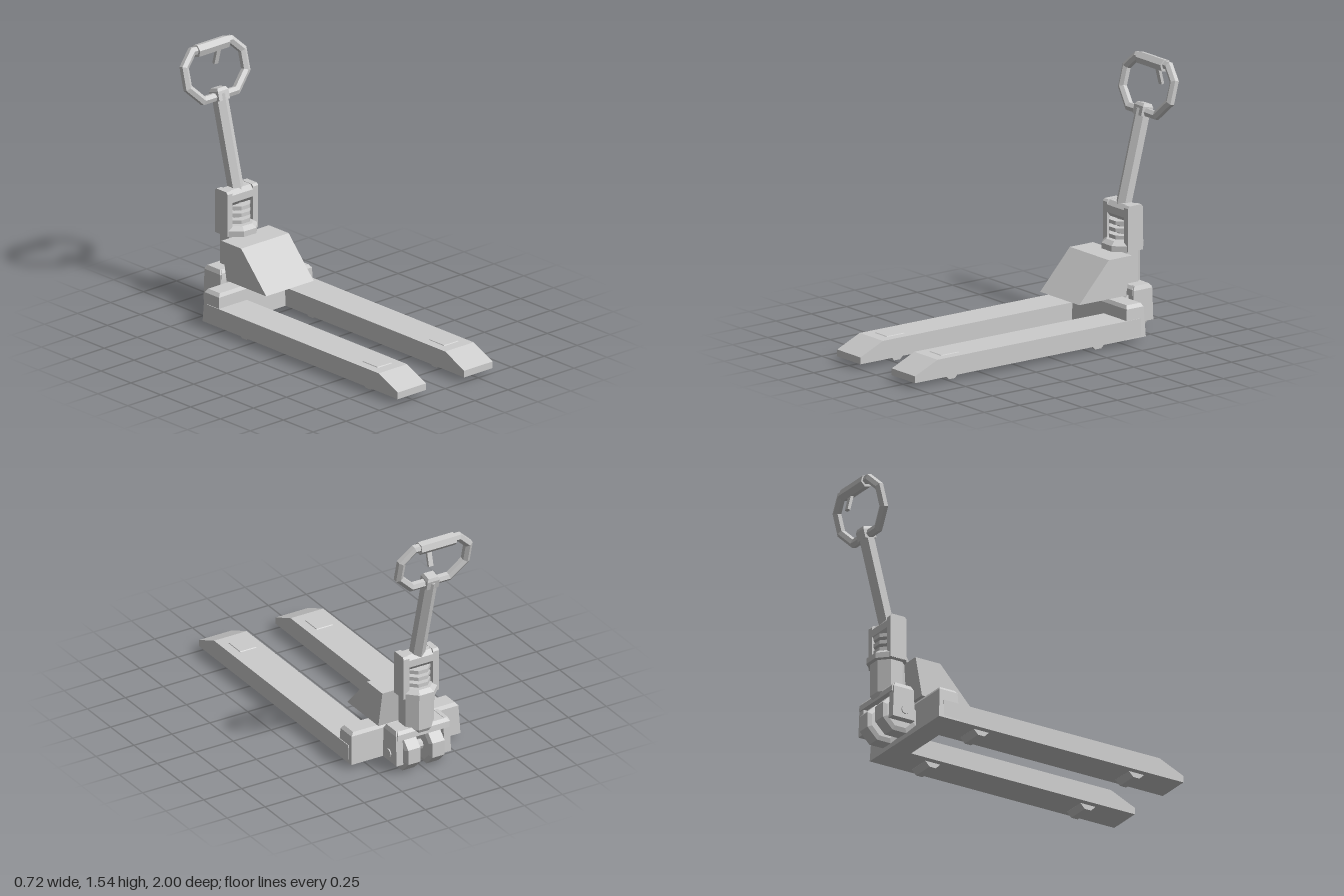
import * as THREE from 'three';

const grey = new THREE.MeshStandardMaterial({ color: 0xcccccc, flatShading: true });
const OCT = 1 / Math.cos(Math.PI / 8); // corner radius per unit of flat distance

function add(parent, name, geometry, x = 0, y = 0, z = 0) {
  const mesh = new THREE.Mesh(geometry, grey);
  mesh.name = name;
  mesh.position.set(x, y, z);
  parent.add(mesh);
  return mesh;
}

// Skin over equal-sized rings of points, capped or joined end to end
function loft(rings, closed = false) {
  const n = rings[0].length, m = rings.length, index = [];
  for (let i = 0; i < (closed ? m : m - 1); i++) {
    for (let j = 0; j < n; j++) {
      const k = (j + 1) % n, next = ((i + 1) % m) * n;
      index.push(i * n + j, i * n + k, next + k, i * n + j, next + k, next + j);
    }
  }
  if (!closed) {
    const top = (m - 1) * n;
    for (let j = 1; j < n - 1; j++) index.push(0, j + 1, j, top, top + j, top + j + 1);
  }
  const g = new THREE.BufferGeometry();
  g.setAttribute('position', new THREE.Float32BufferAttribute(rings.flat(2), 3));
  g.setIndex(index);
  const flat = g.toNonIndexed();
  flat.computeVertexNormals();
  return flat;
}

// Stacked rectangles, each [y, half width, half depth]
const taperedBox = (levels) => loft(levels.map(([y, a, b]) =>
  [[a, y, b], [a, y, -b], [-a, y, -b], [-a, y, b]]));

// Side profile of [z, y] points, given width along x
function sideExtrude(points, width) {
  const shape = new THREE.Shape(points.map(([z, y]) => new THREE.Vector2(z, y)));
  const g = new THREE.ExtrudeGeometry(shape, { depth: width, bevelEnabled: false });
  return g.translate(0, 0, -width / 2).rotateY(-Math.PI / 2);
}

// Eight-sided turned part; profile points are [flat radius, y]
const octLathe = (points) => new THREE.LatheGeometry(
  points.map(([r, y]) => new THREE.Vector2(r * OCT, y)), 8, Math.PI / 8);

// Mitred hexagonal bar following a counter-clockwise polygon in the xy plane
function polygonBar(path, r) {
  const pts = path.map(([x, y]) => new THREE.Vector2(x, y));
  const rings = pts.map((p, i) => {
    const a = p.clone().sub(pts[(i + pts.length - 1) % pts.length]).normalize();
    const b = pts[(i + 1) % pts.length].clone().sub(p).normalize();
    const mitre = new THREE.Vector2(a.y + b.y, -a.x - b.x).normalize();
    mitre.divideScalar(mitre.x * a.y - mitre.y * a.x);
    return Array.from({ length: 6 }, (_, k) => {
      const s = r * Math.sin(k * Math.PI / 3), c = r * Math.cos(k * Math.PI / 3);
      return [p.x + mitre.x * s, p.y + mitre.y * s, c];
    });
  });
  return loft(rings, true);
}

export function createModel() {
  const model = new THREE.Group();
  model.name = 'palletJack';
  const postZ = -0.745;

  // Forks with raised pads and load rollers
  for (const side of [-1, 1]) {
    const x = side * 0.252;
    add(model, 'fork', sideExtrude(
      [[-0.6, 0.03], [1, 0.03], [1, 0.07], [0.84, 0.14], [-0.6, 0.14]], 0.215), x);
    add(model, 'forkPad', taperedBox([[0.135, 0.057, 0.07], [0.144, 0.052, 0.06]]), x, 0, 0.71);
    for (const z of [0.71, -0.327]) {
      const roller = new THREE.CylinderGeometry(0.05 * OCT, 0.05 * OCT, 0.14, 8, 1, false, Math.PI / 8);
      add(model, 'loadRoller', roller.rotateZ(Math.PI / 2), x, 0.05, z);
    }
  }

  // Rear frame and sloped hood
  add(model, 'crossBeam', taperedBox(
    [[0.03, 0.36, 0.069], [0.205, 0.352, 0.06], [0.225, 0.335, 0.048]]), 0, 0, -0.565);
  add(model, 'hood', sideExtrude(
    [[-0.3, 0.228], [-0.51, 0.455], [-0.675, 0.455], [-0.632, 0.228]].reverse(), 0.36));

  // Steering wheels in their bracket
  const wheelProfile = [[0, -0.05], [0.085, -0.05], [0.11, -0.04], [0.11, 0.04], [0.085, 0.05], [0, 0.05]];
  for (const side of [-1, 1]) {
    add(model, 'steerWheel', octLathe(wheelProfile).rotateZ(Math.PI / 2), side * 0.08, 0.11, postZ);
    add(model, 'bracketArm', taperedBox(
      [[0.058, 0.022, 0.074], [0.245, 0.022, 0.066], [0.27, 0.012, 0.052]]), side * 0.157, 0, -0.752);
    const bolt = new THREE.CylinderGeometry(0.025, 0.025, 0.012, 8);
    add(model, 'axleBolt', bolt.rotateZ(Math.PI / 2), side * 0.18, 0.11, postZ);
  }
  const axle = new THREE.CylinderGeometry(0.03, 0.03, 0.32, 8);
  add(model, 'axle', axle.rotateZ(Math.PI / 2), 0, 0.11, postZ);
  add(model, 'bracketTop', taperedBox(
    [[0.215, 0.17, 0.074], [0.25, 0.17, 0.07], [0.268, 0.16, 0.055]]), 0, 0, -0.754);

  // Pump post and collar
  add(model, 'post', octLathe([[0, 0.23], [0.08, 0.23], [0.094, 0.255], [0.094, 0.45], [0, 0.45]]), 0, 0, postZ);
  add(model, 'collar', octLathe([[0, 0.455], [0.113, 0.455], [0.113, 0.488], [0.088, 0.51], [0, 0.51]]), 0, 0, postZ);

  // Yoke around the spring
  for (const side of [-1, 1]) {
    add(model, 'yokeCheek', taperedBox(
      [[0.456, 0.019, 0.053], [0.708, 0.019, 0.053], [0.721, 0.019, 0.042]]), side * 0.097, 0, -0.747);
  }
  add(model, 'yokeTop', sideExtrude([[-0.02, 0.615], [0.02, 0.615], [0.052, 0.65], [0.052, 0.693],
    [0.03, 0.719], [-0.03, 0.719], [-0.052, 0.693], [-0.052, 0.65]], 0.16), 0, 0, -0.747);
  add(model, 'springCore', octLathe([[0, 0.5], [0.03, 0.5], [0.03, 0.63], [0, 0.63]]), 0, 0, postZ);
  for (const y of [0.528, 0.57, 0.612]) {
    add(model, 'springCoil', octLathe([[0, -0.011], [0.074, -0.011], [0.074, 0.011], [0, 0.011]]), 0, y, postZ);
  }

  // Tilted handle: shaft, loop, grip and release lever
  const handle = new THREE.Group();
  handle.name = 'handle';
  handle.position.set(0, 0.71, -0.755);
  handle.rotation.x = -0.255;
  model.add(handle);
  add(handle, 'shaft', new THREE.CylinderGeometry(0.046, 0.046, 0.56, 6), 0, 0.265, 0);
  add(handle, 'loopClamp', taperedBox(
    [[0.505, 0.04, 0.038], [0.56, 0.04, 0.038], [0.578, 0.031, 0.028]]));
  const half = [[0.125, 0.53], [0.22, 0.626], [0.22, 0.745], [0.145, 0.82]];
  const loop = [...half, ...half.map(([x, y]) => [-x, y]).reverse()];
  add(handle, 'handleLoop', polygonBar(loop, 0.026));
  const grip = new THREE.CylinderGeometry(0.038, 0.038, 0.23, 6);
  add(handle, 'grip', grip.rotateZ(Math.PI / 2), 0, 0.815, 0);
  const lever = add(handle, 'releaseLever', new THREE.BoxGeometry(0.03, 0.11, 0.018), 0.051, 0.752, -0.024);
  lever.rotation.x = 0.5;

  return model;
}
